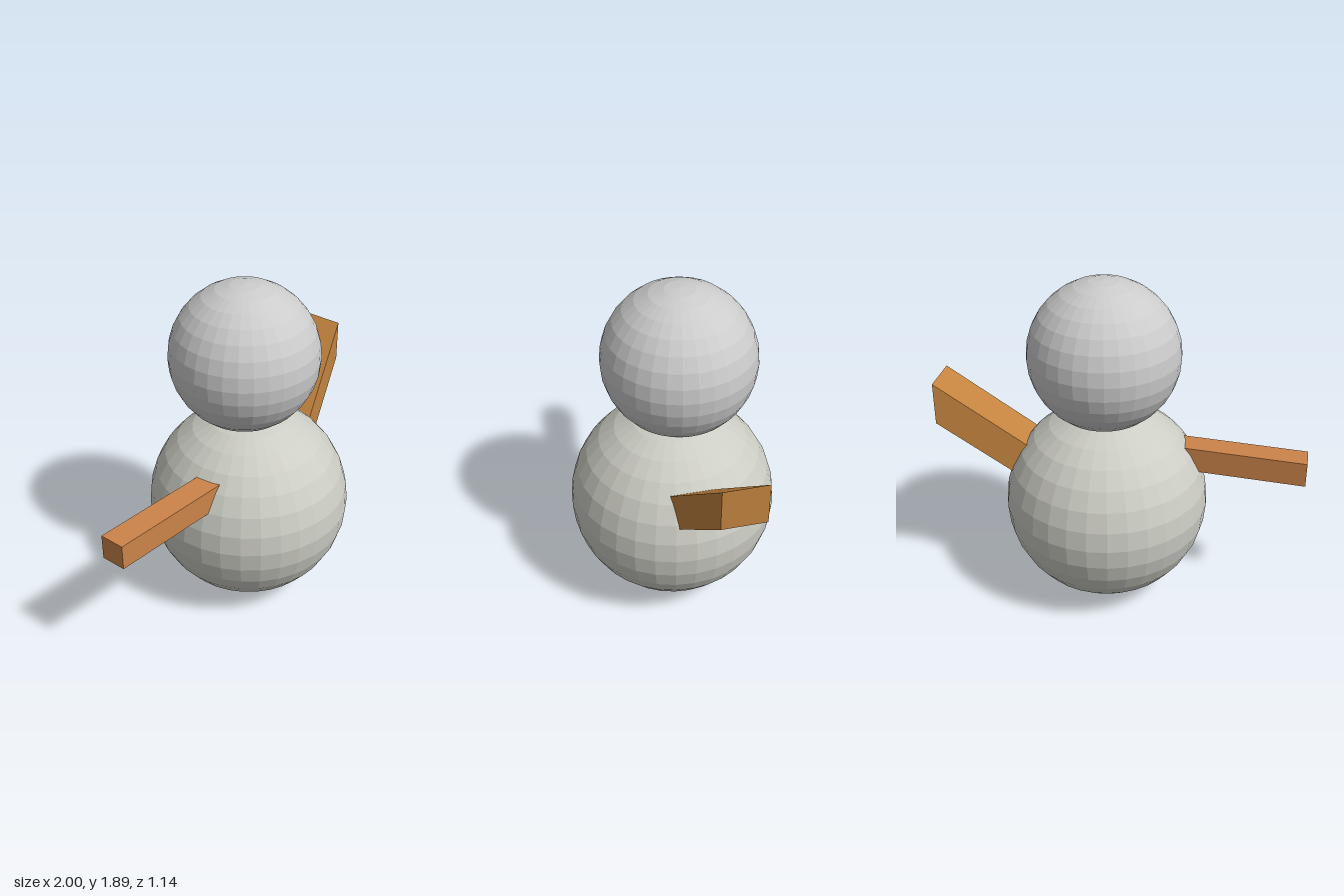
import * as THREE from 'three';

function addBall(group, name, color, radius, x, y, z) {
  const material = new THREE.MeshStandardMaterial({ color, flatShading: true });
  const ball = new THREE.Mesh(new THREE.SphereGeometry(radius, 32, 16), material);
  ball.name = name;
  ball.position.set(x, y, z);
  group.add(ball);
}

// Square beam sheared between two points, its end caps facing along x
function addArm(group, name, color, size, inner, outer) {
  const geometry = new THREE.BoxGeometry(1, size, size);
  const start = new THREE.Vector3(...(inner[0] < outer[0] ? inner : outer));
  const end = new THREE.Vector3(...(inner[0] < outer[0] ? outer : inner));
  const pos = geometry.attributes.position;
  const axis = new THREE.Vector3();
  for (let i = 0; i < pos.count; i++) {
    axis.lerpVectors(start, end, pos.getX(i) + 0.5);
    pos.setXYZ(i, axis.x, axis.y + pos.getY(i), axis.z + pos.getZ(i));
  }
  geometry.computeVertexNormals();
  const arm = new THREE.Mesh(geometry, new THREE.MeshStandardMaterial({ color, flatShading: true }));
  arm.name = name;
  group.add(arm);
}

export function createModel() {
  const group = new THREE.Group();
  group.name = 'snowman';

  // Stacked snowballs
  addBall(group, 'body', 0xcccdc4, 0.57, 0.11, 0.573, 0);
  addBall(group, 'head', 0xcccccc, 0.413, 0.11, 1.478, -0.035);

  // Wooden arms, rooted inside the body
  addArm(group, 'leftArm', 0xc4853f, 0.235, [0.35, 0.645, 0.05], [1, 1.207, -0.137]);
  addArm(group, 'rightArm', 0xcc8449, 0.14, [-0.1, 0.862, 0.077], [-1, 0.855, 0.015]);

  return group;
}
